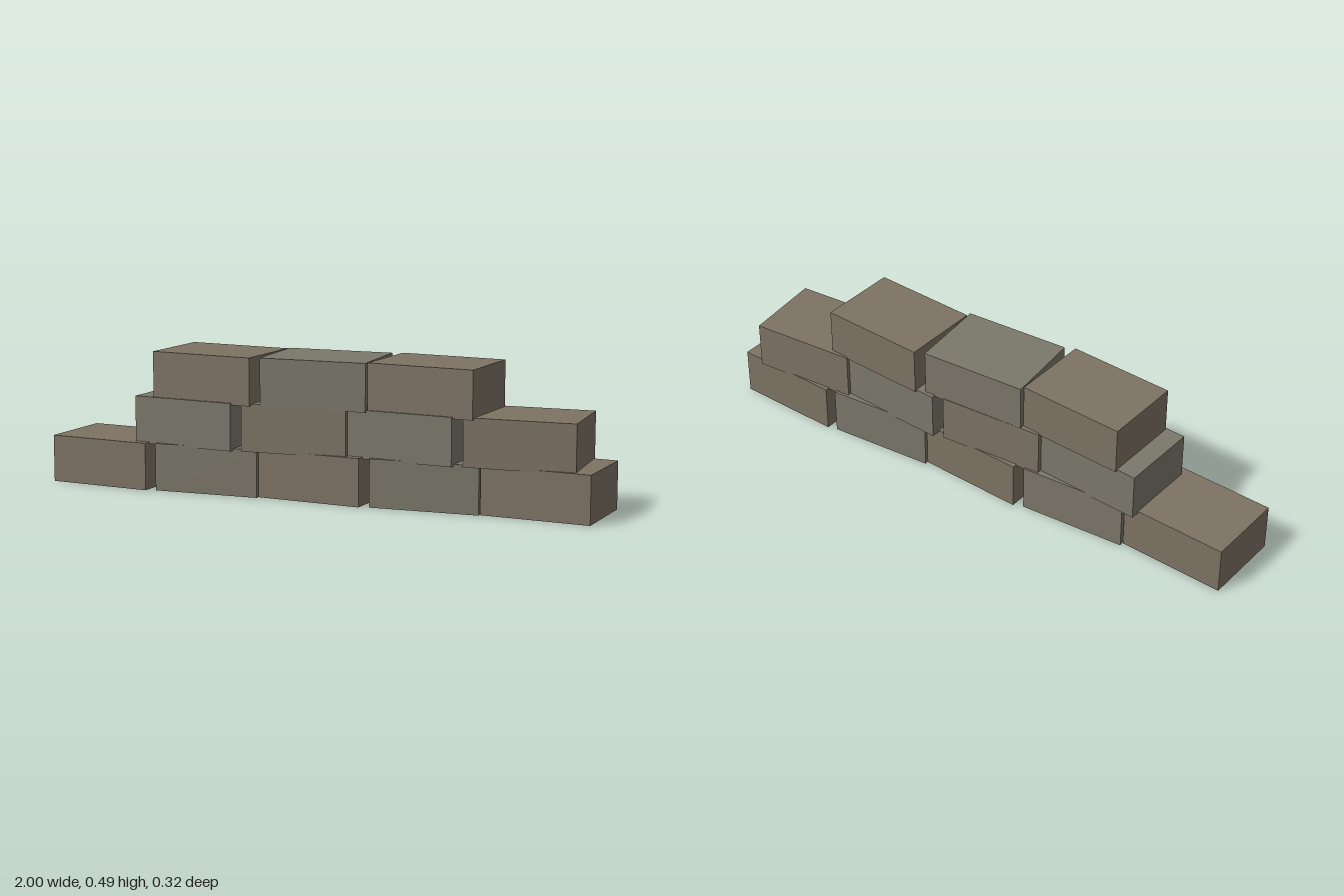
import * as THREE from 'three';

// Stepped wall of loosely laid blocks, each slightly turned about the vertical
const LENGTH = 0.381, HEIGHT = 0.167, DEPTH = 0.283;
const PITCH = 0.398, RISE = 0.1605;

// Per course: centre x of the first block, then the turn of each block
const COURSES = [
  { name: 'bottomBlock', start: -0.797, turns: [-0.09, 0.02, -0.09, 0.03, -0.076] },
  { name: 'middleBlock', start: -0.469, turns: [-0.1, 0.02, -0.097, 0.03] },
  { name: 'topBlock', start: -0.398, turns: [-0.097, 0.015, -0.095] },
];

export function createModel() {
  const wall = new THREE.Group();
  wall.name = 'blockWall';
  const geometry = new THREE.BoxGeometry(LENGTH, HEIGHT, DEPTH);
  const stones = [0x7d7364, 0x7b776a].map(
    (color) => new THREE.MeshStandardMaterial({ color }));

  COURSES.forEach(({ name, start, turns }, row) => {
    turns.forEach((turn, i) => {
      // The two stone tones alternate along and between courses
      const block = new THREE.Mesh(geometry, stones[(i + (row === 1 ? 1 : 0)) % 2]);
      block.name = name + (i + 1);
      block.position.set(start + i * PITCH, HEIGHT / 2 + row * RISE, 0);
      block.rotation.y = turn;
      wall.add(block);
    });
  });
  return wall;
}
